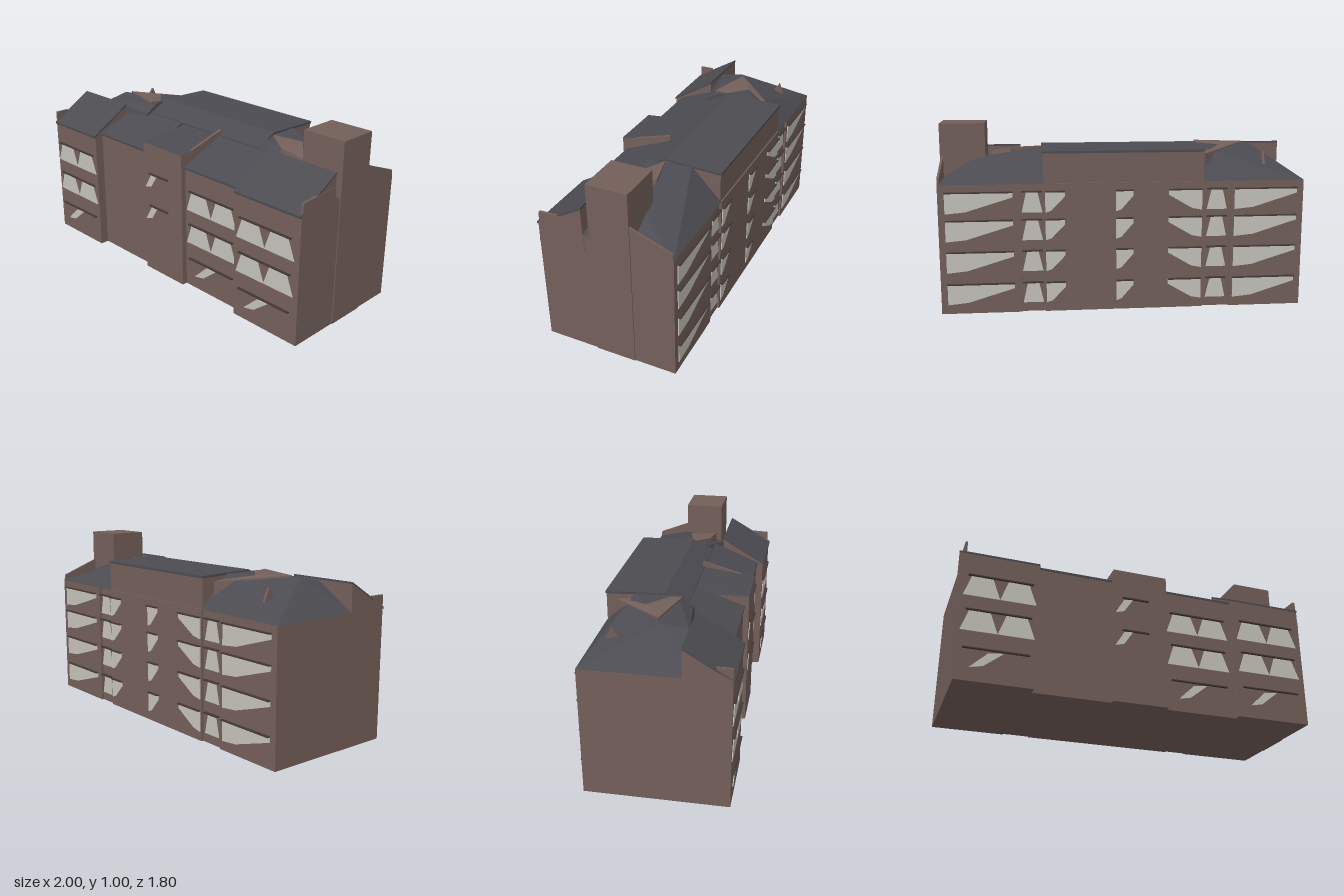
import * as THREE from 'three';
import { ConvexGeometry } from 'three/addons/geometries/ConvexGeometry.js';

const mat = (name, color) => {
  const m = new THREE.MeshStandardMaterial({ color, flatShading: true });
  m.name = name;
  return m;
};

export function createModel() {
  const brick = mat('brown brick', 0x735f59);
  const slate = mat('dark slate', 0x4b4b51);
  const glass = mat('pale glass', 0xc4c2ba);
  const trim = mat('dark trim', 0x443835);

  const model = new THREE.Group();
  model.name = 'building';
  // local x runs along the long side, local z faces the street
  const house = new THREE.Group();
  house.name = 'house';
  house.rotation.y = -0.673;
  model.add(house);

  const add = (name, geo, m) => {
    const mesh = new THREE.Mesh(geo, m);
    mesh.name = name;
    house.add(mesh);
    return mesh;
  };
  const box = (name, m, x0, x1, y0, y1, z0, z1) =>
    add(name, new THREE.BoxGeometry(x1 - x0, y1 - y0, z1 - z0), m)
      .position.set((x0 + x1) / 2, (y0 + y1) / 2, (z0 + z1) / 2);
  // profile of [z, y] points swept from x0 to x1
  const prism = (name, m, pts, x0, x1) => {
    const shape = new THREE.Shape(pts.map(([z, y]) => new THREE.Vector2(-z, y)));
    const geo = new THREE.ExtrudeGeometry(shape, { depth: x1 - x0, bevelEnabled: false });
    geo.rotateY(Math.PI / 2);
    geo.translate(x0, 0, 0);
    add(name, geo, m);
  };
  // thin plate of [x, y] points standing on a wall
  const plate = (name, m, pts, z) => {
    const shape = new THREE.Shape(pts.map(p => new THREE.Vector2(...p)));
    const geo = new THREE.ExtrudeGeometry(shape, { depth: 0.006, bevelEnabled: false });
    geo.translate(0, 0, z);
    add(name, geo, m);
  };
  const hull = (name, m, pts) =>
    add(name, new ConvexGeometry(pts.map(p => new THREE.Vector3(...p))), m);

  // main body, with shallow recesses along the back wall
  box('mainBody', brick, -0.98, 0.98, 0, 0.7, -0.355, 0.14);
  for (const [x0, x1] of [[-0.98, -0.58], [-0.43, 0.43], [0.55, 0.98]])
    box('backWall', brick, x0, x1, 0, 0.7, -0.367, -0.355);

  // raised middle storey and its low roof
  prism('upperStorey', brick, [[-0.36, 0.7], [0.06, 0.7], [0.06, 0.81], [-0.05, 0.868], [-0.36, 0.858]], -0.43, 0.43);
  prism('mainRoof', slate, [[-0.365, 0.858], [-0.05, 0.868], [0.07, 0.81], [0.07, 0.822], [-0.05, 0.88], [-0.365, 0.87]], -0.435, 0.435);

  // hipped roofs over the two wings
  hull('leftWingRoof', slate, [
    [-0.98, 0.7, -0.367], [-0.98, 0.7, 0.14], [-0.43, 0.7, -0.367], [-0.43, 0.7, 0.14],
    [-0.76, 0.865, 0], [-0.43, 0.87, -0.2], [-0.43, 0.87, 0.02], [-0.76, 0.84, 0.14], [-0.43, 0.82, 0.1]]);
  hull('rightWingRoof', slate, [
    [0.43, 0.7, -0.367], [0.43, 0.7, 0.14], [0.98, 0.7, -0.367], [0.98, 0.7, 0.14],
    [0.43, 0.87, -0.2], [0.43, 0.85, 0.05], [0.8, 0.81, -0.12]]);
  // brick patches where the wing roofs meet the raised storey
  hull('leftRoofCheek', brick, [
    [-0.73, 0.7, -0.03], [-0.46, 0.7, 0.06], [-0.45, 0.7, -0.3],
    [-0.72, 0.875, -0.02], [-0.45, 0.877, 0.05], [-0.45, 0.84, -0.3], [-0.58, 0.872, -0.1]]);
  hull('rightRoofCheek', brick, [
    [0.43, 0.7, -0.05], [0.66, 0.7, -0.07], [0.73, 0.7, 0.06], [0.56, 0.7, 0.04],
    [0.43, 0.865, -0.05], [0.6, 0.86, -0.09], [0.72, 0.83, 0.05], [0.56, 0.85, 0.04]]);

  // street bays: x0, x1, front, ridge z, eave y, ridge y
  const bays = [
    [-0.98, -0.58, 0.38, 0.14, 0.7, 0.845],
    [-0.58, -0.16, 0.33, 0.05, 0.71, 0.815],
    [0.15, 0.555, 0.33, 0.05, 0.7, 0.815],
    [0.555, 0.98, 0.37, 0.12, 0.7, 0.845],
  ];
  for (const [x0, x1, f, r, e, t] of bays) {
    prism('bayWall', brick, [[r, 0], [f, 0], [f, e], [r, t]], x0, x1);
    prism('bayRoof', slate, [[f + 0.008, e - 0.005], [r, t], [r, t + 0.01], [f + 0.008, e + 0.007]], x0, x1);
  }
  // middle entrance bay: higher wall, roof falling to one side
  box('entranceBay', brick, -0.16, 0.15, 0, 0.775, 0.05, 0.36);
  hull('entranceRoof', slate, [
    [-0.16, 0.775, 0.36], [0.15, 0.775, 0.36], [-0.16, 0.775, 0.05], [0.15, 0.775, 0.05],
    [0.13, 0.82, 0.06], [-0.14, 0.815, 0.06], [0.0, 0.795, 0.22]]);
  prism('entranceGable', brick, [[0.05, 0.77], [0.34, 0.77], [0.06, 0.85]], 0.135, 0.15);

  // stair tower and the parapets beside it
  box('tower', brick, 0.74, 0.985, 0, 1, -0.14, 0.08);
  prism('endParapet', brick, [[0.11, 0.6], [0.37, 0.6], [0.36, 0.77], [0.12, 0.78]], 0.968, 0.982);
  prism('rearParapet', brick, [[-0.14, 0.69], [-0.367, 0.69], [-0.36, 0.735], [-0.14, 0.82]], 0.968, 0.98);
  prism('cornerParapet', brick, [[0.38, 0.6], [0.3, 0.6], [0.3, 0.77], [0.38, 0.77]], -0.98, -0.968);
  prism('roofFin', brick, [[-0.14, 0.7], [-0.3, 0.7], [-0.24, 0.84]], -0.79, -0.775);

  // back windows on four floors: x of the tall edge, x of the tapered edge
  const tapered = [[0.945, 0.59], [0.42, 0.316], [0.043, -0.05], [-0.422, -0.24], [-0.6, -0.944]];
  for (const y of [0.05, 0.225, 0.395, 0.545]) {
    const top = y + 0.11;
    for (const [a, b] of tapered) {
      plate('backWindow', glass, [[a, y], [a, top], [b, top], [b, top - 0.025], [a + (b - a) * 0.3, y + 0.01]], -0.372);
      box('backLintel', trim, Math.min(a, b), Math.max(a, b), top, top + 0.006, -0.383, -0.36);
    }
    for (const x of [0.49, -0.505]) {
      plate('recessWindow', glass, [[x - 0.055, y], [x + 0.055, y], [x + 0.03, top], [x - 0.03, top]], -0.36);
      box('recessLintel', trim, x - 0.055, x + 0.055, top, top + 0.006, -0.375, -0.355);
    }
  }

  // street windows: pairs of trapezoids on two floors, slivers at ground level
  for (const [x0, x1, z] of [[-0.97, -0.59, 0.38], [0.16, 0.53, 0.33], [0.57, 0.95, 0.37]]) {
    const w = (x1 - x0) / 2;
    for (const y of [0.46, 0.265]) {
      for (let i = 0; i < 2; i++) {
        const a = x0 + i * w;
        plate('streetWindow', glass, [[a, y], [a + w, y], [a + w * 0.78, y + 0.11], [a + w * 0.2, y + 0.11]], z - 0.002);
      }
      box('streetLintel', trim, x0 + 0.02, x1 - 0.02, y + 0.112, y + 0.119, z - 0.01, z + 0.012);
    }
    plate('groundWindow', glass, [[x0 + 0.06, 0.07], [x0 + 0.13, 0.085], [x0 + 0.23, 0.165], [x0 + 0.15, 0.155]], z - 0.002);
    box('groundLintel', trim, x0 + 0.02, x1 - 0.02, 0.168, 0.175, z - 0.01, z + 0.012);
  }
  for (const y of [0.51, 0.315]) {
    plate('entranceWindow', glass, [[-0.15, y], [-0.1, y + 0.015], [-0.05, y + 0.09], [-0.1, y + 0.085]], 0.357);
    box('entranceLintel', trim, -0.11, 0.04, y + 0.09, y + 0.097, 0.35, 0.372);
  }
  return model;
}
